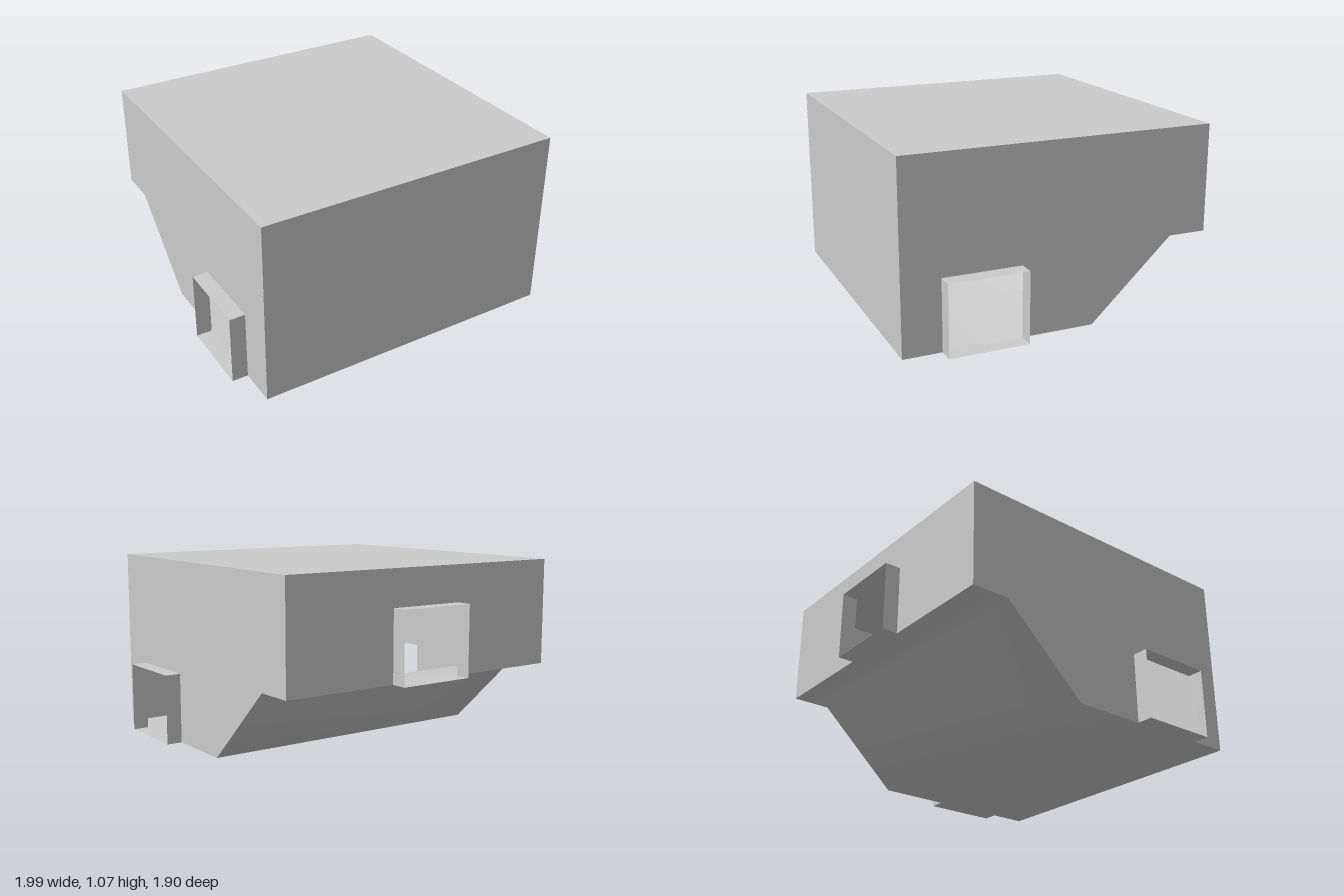
import * as THREE from 'three';

const material = new THREE.MeshStandardMaterial({ color: 0xcccccc, side: THREE.DoubleSide });

const W = 0.905, H = 1.07;            // half width and height of the shell
const FRONT = 0.95, BACK = -0.86;     // front and back walls
const LEDGE = 0.45;                   // underside height at the back
const DOOR_W = 0.228, DOOR_H = 0.41, DEPTH = 0.092;
const DOOR_Z = 0.5;                   // centre of the side doorways

function part(name, geometry) {
  const mesh = new THREE.Mesh(geometry, material);
  mesh.name = name;
  return mesh;
}

// Sheet swept from a polyline of [x, y, z] points along the vector d
function ribbon(points, d) {
  const positions = [], index = [];
  points.forEach(([x, y, z], i) => {
    positions.push(x, y, z, x + d[0], y + d[1], z + d[2]);
    if (i > 0) {
      const a = 2 * (i - 1), b = 2 * i;
      index.push(a, b, b + 1, a, b + 1, a + 1);
    }
  });
  const geometry = new THREE.BufferGeometry();
  geometry.setAttribute('position', new THREE.Float32BufferAttribute(positions, 3));
  geometry.setIndex(index);
  geometry.computeVertexNormals();
  return geometry;
}

function flatWall(points) {
  return new THREE.ShapeGeometry(new THREE.Shape(points.map(([x, y]) => new THREE.Vector2(x, y))));
}

// Open sleeve around a doorway, projecting towards its own +z
function doorSleeve(name, x, y, z, turn) {
  const w = DOOR_W, h = DOOR_H;
  const loop = [[-w, 0, 0], [w, 0, 0], [w, h, 0], [-w, h, 0], [-w, 0, 0]];
  const geometry = ribbon(loop, [0, 0, DEPTH]).toNonIndexed();
  geometry.computeVertexNormals();
  const sleeve = part(name, geometry);
  sleeve.position.set(x, y, z);
  sleeve.rotation.y = turn;
  return sleeve;
}

export function createModel() {
  const model = new THREE.Group();
  model.name = 'room';

  // Roof and front wall
  const roof = part('roof', new THREE.PlaneGeometry(2 * W, FRONT - BACK).rotateX(-Math.PI / 2));
  roof.position.set(0, H, (FRONT + BACK) / 2);
  const frontWall = part('frontWall', new THREE.PlaneGeometry(2 * W, H));
  frontWall.position.set(0, H / 2, FRONT);
  model.add(roof, frontWall);

  // Floor with a smooth ramp up to the back ledge
  const floorLine = [[FRONT, 0], [-0.15, 0], [-0.635, LEDGE], [BACK, LEDGE]];
  model.add(part('floor', ribbon(floorLine.map(([z, y]) => [-W, y, z]), [2 * W, 0, 0])));

  // Back wall, notched for its doorway
  const top = LEDGE + DOOR_H;
  const backWall = part('backWall', flatWall([
    [-W, LEDGE], [-DOOR_W, LEDGE], [-DOOR_W, top], [DOOR_W, top],
    [DOOR_W, LEDGE], [W, LEDGE], [W, H], [-W, H],
  ]));
  backWall.position.z = BACK;
  backWall.rotation.y = Math.PI;
  model.add(backWall, doorSleeve('backDoorway', 0, LEDGE, BACK, Math.PI));

  // Side walls, notched for their doorways
  const z0 = DOOR_Z - DOOR_W, z1 = DOOR_Z + DOOR_W;
  const sideLine = [
    [FRONT, H], [FRONT, 0], [z1, 0], [z1, DOOR_H], [z0, DOOR_H], [z0, 0],
    ...floorLine.slice(1), [BACK, H],
  ];
  for (const [side, s] of [['left', 1], ['right', -1]]) {
    const wall = part(side + 'Wall', flatWall(sideLine.map(([z, y]) => [-s * z, y])));
    wall.position.x = s * W;
    wall.rotation.y = s * Math.PI / 2;
    model.add(wall, doorSleeve(side + 'Doorway', s * W, 0, DOOR_Z, s * Math.PI / 2));
  }

  return model;
}
